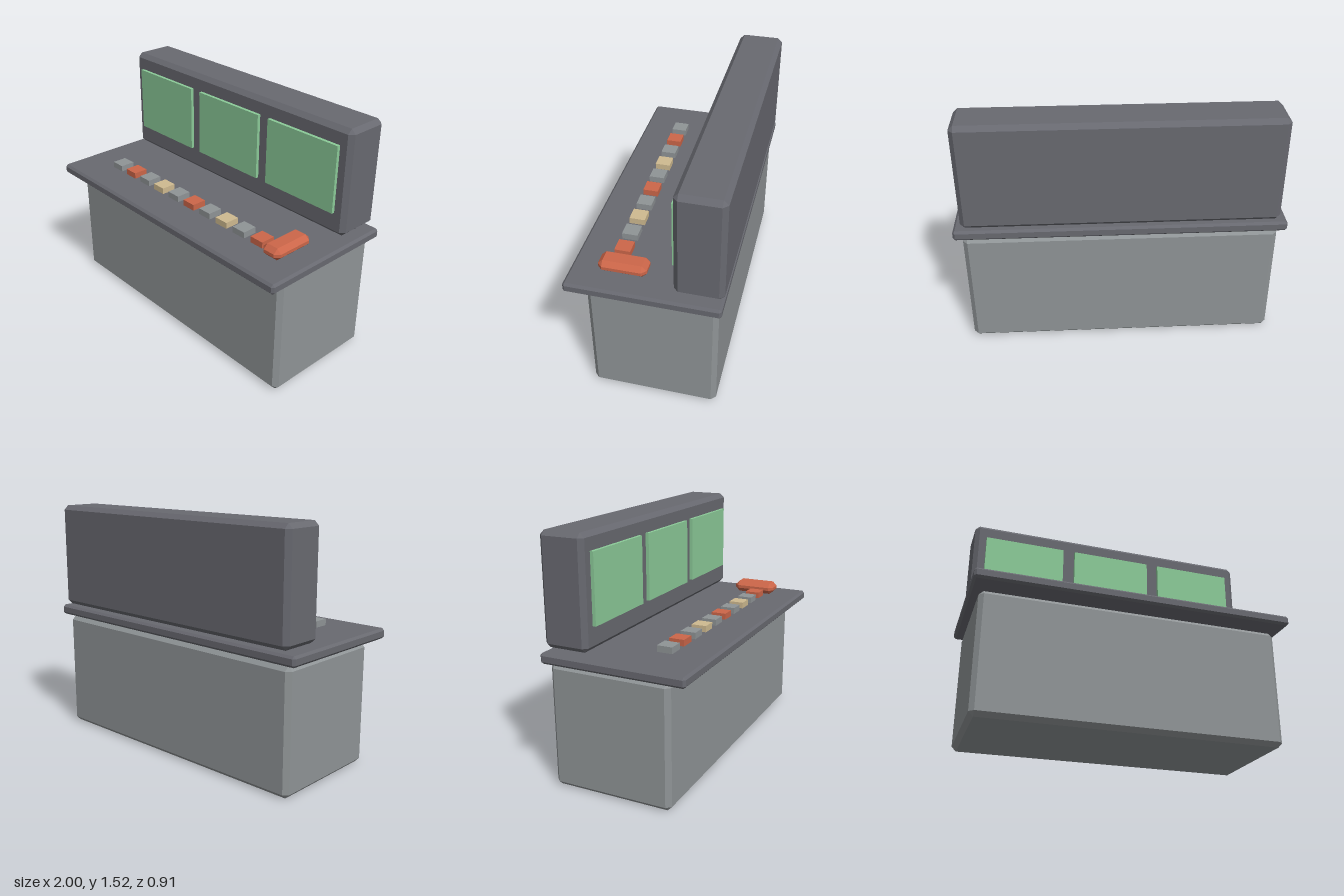
import * as THREE from 'three';
import { ConvexGeometry } from 'three/addons/geometries/ConvexGeometry.js';

const paint = (name, color) => {
  const m = new THREE.MeshStandardMaterial({ color });
  m.name = name;
  return m;
};

// Box with flat chamfers on every edge and corner.
function chamferBox(w, h, d, c) {
  const points = [];
  for (const x of [-w / 2, w / 2]) for (const y of [-h / 2, h / 2]) for (const z of [-d / 2, d / 2]) {
    const ix = x - Math.sign(x) * c, iy = y - Math.sign(y) * c, iz = z - Math.sign(z) * c;
    points.push(new THREE.Vector3(x, iy, iz), new THREE.Vector3(ix, y, iz), new THREE.Vector3(ix, iy, z));
  }
  return new ConvexGeometry(points);
}

export function createModel() {
  const model = new THREE.Group();
  model.name = 'controlConsole';
  const lightGrey = paint('light grey', 0x8f9496);
  const darkGrey = paint('dark grey', 0x686970);
  const green = paint('screen green', 0x8bca98);
  const red = paint('signal red', 0xcc6649);
  const tan = paint('tan', 0xcfba90);

  // Places a part by its extents along each axis.
  const add = (name, material, [x0, x1], [y0, y1], [z0, z1], chamfer = 0) => {
    const size = [x1 - x0, y1 - y0, z1 - z0];
    const geometry = chamfer ? chamferBox(...size, chamfer) : new THREE.BoxGeometry(...size);
    const mesh = new THREE.Mesh(geometry, material);
    mesh.name = name;
    mesh.position.set((x0 + x1) / 2, (y0 + y1) / 2, (z0 + z1) / 2);
    model.add(mesh);
  };

  // Cabinet, worktop and upright display housing
  add('cabinet', lightGrey, [-0.95, 0.95], [0, 0.762], [-0.425, 0.335], 0.028);
  add('worktop', darkGrey, [-1, 1], [0.77, 0.834], [-0.45, 0.453], 0.014);
  add('displayHousing', darkGrey, [-0.95, 0.95], [0.85, 1.516], [-0.453, -0.17], 0.028);

  // Three screens standing proud of the housing
  for (const x of [-0.61, 0, 0.61])
    add('screen', green, [x - 0.265, x + 0.265], [0.993, 1.412], [-0.18, -0.149]);

  // Row of push buttons
  const buttonColors = [lightGrey, red, lightGrey, tan];
  for (let i = 0; i < 10; i++) {
    const x = -0.67 + i * 0.1478;
    add('button', buttonColors[i % 4], [x - 0.047, x + 0.047], [0.843, 0.882], [0.142, 0.237]);
  }

  // Handset at the end of the row
  add('handset', red, [0.74, 0.872], [0.84, 0.916], [0.004, 0.288], 0.028);

  return model;
}
